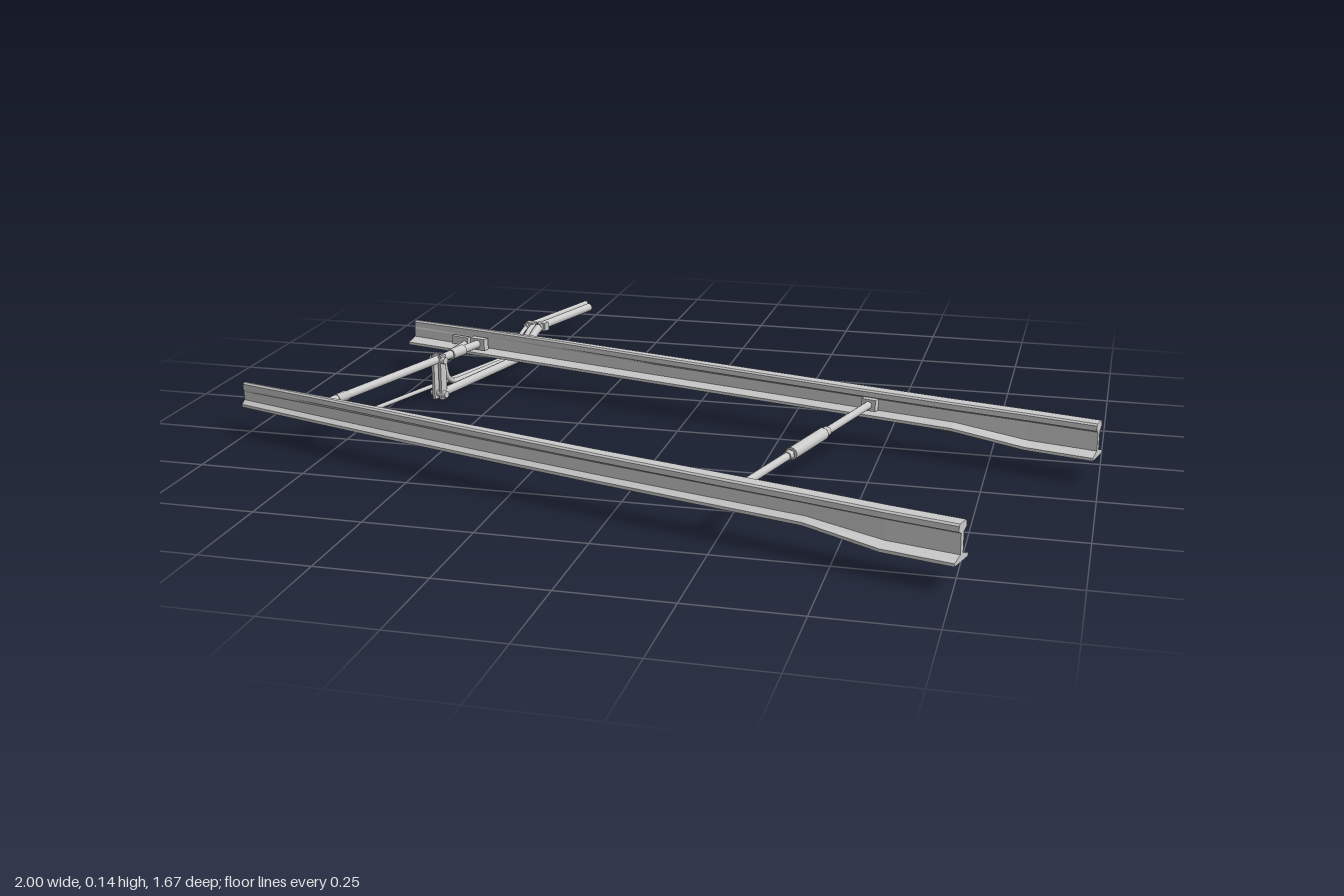
import * as THREE from 'three';

const V = (x, y, z) => new THREE.Vector3(x, y, z);
const mat = new THREE.MeshStandardMaterial({ color: 0xcccccc });
const flatMat = new THREE.MeshStandardMaterial({ color: 0xcccccc, flatShading: true });

function add(parent, geometry, name, material = mat) {
  const m = new THREE.Mesh(geometry, material);
  m.name = name;
  parent.add(m);
  return m;
}

// Straight round bar between two points
function bar(parent, a, b, r, name, sides = 12) {
  const m = add(parent, new THREE.CylinderGeometry(r, r, a.distanceTo(b), sides), name);
  m.position.copy(a).lerp(b, 0.5);
  m.quaternion.setFromUnitVectors(V(0, 1, 0), b.clone().sub(a).normalize());
  return m;
}

// Box turned about y
function block(parent, p, size, angle, name) {
  const m = add(parent, new THREE.BoxGeometry(...size), name);
  m.position.copy(p);
  m.rotation.y = angle;
  return m;
}

// Round pipe along a polyline with rounded corners
function pipe(parent, pts, r, bend, name) {
  const path = new THREE.CurvePath();
  let last = pts[0];
  for (let i = 1; i < pts.length - 1; i++) {
    const toward = (q) => {
      const d = q.clone().sub(pts[i]);
      return pts[i].clone().add(d.setLength(Math.min(bend, d.length() * 0.45)));
    };
    const a = toward(pts[i - 1]), b = toward(pts[i + 1]);
    path.add(new THREE.LineCurve3(last, a));
    path.add(new THREE.QuadraticBezierCurve3(a, pts[i], b));
    last = b;
  }
  path.add(new THREE.LineCurve3(last, pts[pts.length - 1]));
  return add(parent, new THREE.TubeGeometry(path, 120, r, 10), name);
}

// Rail section: t runs outward from the inner foot edge
function section({ yb, yt, foot, head: [h0, h1], web: [w0, w1] }) {
  return [
    [0, yb], [foot, yb], [foot, yb + 0.007], [w1, yb + 0.016],
    [w1, yt - 0.022], [h1, yt - 0.016], [h1, yt - 0.004], [h1 - 0.004, yt],
    [h0 + 0.004, yt], [h0, yt - 0.004], [h0, yt - 0.016], [w0, yt - 0.022],
    [w0, yb + 0.016], [0, yb + 0.007],
  ];
}

// Blade thins toward its tip and becomes a full rail at the heel
const stations = [
  { s: 0, yb: 0.075, yt: 0.134, foot: 0.05, head: [0.03, 0.042], web: [0.029, 0.04] },
  { s: 0.12, yb: 0.075, yt: 0.138, foot: 0.048, head: [0.026, 0.042], web: [0.026, 0.038] },
  { s: 0.25, yb: 0.075, yt: 0.14, foot: 0.047, head: [0.02, 0.043], web: [0.024, 0.037] },
  { s: 0.4, yb: 0.075, yt: 0.14, foot: 0.046, head: [0.014, 0.043], web: [0.022, 0.036] },
  { s: 0.55, yb: 0.075, yt: 0.14, foot: 0.047, head: [0.011, 0.044], web: [0.021, 0.035] },
  { s: 0.7, yb: 0.075, yt: 0.14, foot: 0.048, head: [0.008, 0.045], web: [0.02, 0.034] },
  { s: 0.82, yb: 0.075, yt: 0.14, foot: 0.05, head: [0.009, 0.047], web: [0.021, 0.035] },
  { s: 0.915, yb: 0.058, yt: 0.14, foot: 0.066, head: [0.014, 0.052], web: [0.026, 0.04] },
  { s: 1, yb: 0.058, yt: 0.14, foot: 0.068, head: [0.015, 0.053], web: [0.027, 0.041] },
];

// Loft a rail along its inner foot edge; side is +1 when outward is +z,
// bow is how far the middle curves outward
function rail(parent, a, b, side, bow, name) {
  const d = b.clone().sub(a).normalize();
  const n = V(-d.z, 0, d.x).multiplyScalar(side);
  const pos = [], idx = [];
  const rings = stations.map(section), k = rings[0].length;
  rings.forEach((ring, i) => ring.forEach(([t, y]) => {
    const { s } = stations[i];
    const p = a.clone().lerp(b, s).addScaledVector(n, t + 4 * bow * s * (1 - s));
    pos.push(p.x, y, p.z);
  }));
  const tri = (p, q, r) => (side > 0 ? idx.push(p, q, r) : idx.push(p, r, q));
  for (let i = 0; i < rings.length - 1; i++) {
    for (let j = 0; j < k; j++) {
      const p = i * k + j, q = i * k + (j + 1) % k;
      tri(p, p + k, q + k);
      tri(p, q + k, q);
    }
  }
  // End caps
  const cap = (ring) => THREE.ShapeUtils.triangulateShape(ring.map((c) => new THREE.Vector2(...c)), []);
  const e = (rings.length - 1) * k;
  cap(rings[0]).forEach(([p, q, r]) => tri(p, q, r));
  cap(rings[rings.length - 1]).forEach(([p, q, r]) => tri(e + p, e + r, e + q));
  const g = new THREE.BufferGeometry();
  g.setAttribute('position', new THREE.Float32BufferAttribute(pos, 3));
  g.setIndex(idx);
  g.computeVertexNormals();
  return add(parent, g, name, flatMat);
}

export function createModel() {
  const model = new THREE.Group();
  model.name = 'railSwitchBlades';

  // Two mirrored blades
  rail(model, V(-0.985, 0, 0.24), V(0.772, 0, 0.766), 1, 0.02, 'frontBlade');
  rail(model, V(-0.818, 0, -0.322), V(0.985, 0, 0.146), -1, 0, 'backBlade');

  // Heading of the cross rods, and of the rails for the lugs
  const rodAngle = -0.3, railAngle = -0.27;

  // Spacer rod near the heel
  const spacer = new THREE.Group();
  spacer.name = 'spacerRod';
  model.add(spacer);
  const s0 = V(0.467, 0.107, -0.005), s1 = V(0.279, 0.107, 0.652);
  const onSpacer = (t) => s0.clone().lerp(s1, t);
  bar(spacer, s0, s1, 0.009, 'rod');
  bar(spacer, onSpacer(0.38), onSpacer(0.61), 0.0145, 'sleeve');
  for (const t of [0.36, 0.63]) bar(spacer, onSpacer(t - 0.012), onSpacer(t + 0.012), 0.012, 'lockNut', 6);
  for (const t of [0.012, 0.988]) block(spacer, onSpacer(t), [0.036, 0.028, 0.018], railAngle, 'lug');

  // Stretcher rod joining the blade tips
  const stretcher = new THREE.Group();
  stretcher.name = 'stretcherRod';
  model.add(stretcher);
  const t0 = V(-0.785, 0.105, 0.325), t1 = V(-0.6, 0.105, -0.29);
  const onStretcher = (t) => t0.clone().lerp(t1, t);
  bar(stretcher, t0, t1, 0.0105, 'rod');
  bar(stretcher, onStretcher(0.1), onStretcher(0.16), 0.013, 'lockNut', 6);
  bar(stretcher, onStretcher(0.79), onStretcher(0.87), 0.014, 'sleeve');
  for (const t of [0.02, 0.98]) block(stretcher, onStretcher(t), [0.045, 0.03, 0.018], railAngle, 'lug');

  // Hanging crank plates with pivot pins
  const crank = new THREE.Group();
  crank.name = 'crank';
  model.add(crank);
  for (const dx of [-0.009, 0.009]) {
    block(crank, V(-0.652 + dx, 0.06, -0.11), [0.008, 0.116, 0.022], rodAngle, 'plate');
  }
  for (const y of [0.016, 0.105]) bar(crank, V(-0.674, y, -0.117), V(-0.63, y, -0.103), 0.009, 'pin');

  // Drive pipe dipping under the back blade
  const drive = new THREE.Group();
  drive.name = 'driveRod';
  model.add(drive);
  pipe(drive, [V(-0.652, 0.016, -0.1), V(-0.555, 0.016, -0.48), V(-0.534, 0.08, -0.55), V(-0.52, 0.08, -0.6)], 0.011, 0.035, 'pipe');
  bar(drive, V(-0.533, 0.08, -0.555), V(-0.46, 0.08, -0.795), 0.011, 'endBar');
  block(drive, V(-0.524, 0.08, -0.57), [0.026, 0.022, 0.018], rodAngle, 'clevis');

  // Detector rod to the front blade tip
  const detector = new THREE.Group();
  detector.name = 'detectorRods';
  model.add(detector);
  pipe(detector, [
    V(-0.84, 0.1, 0.295), V(-0.823, 0.092, 0.235), V(-0.802, 0.016, 0.17), V(-0.61, 0.014, -0.43),
    V(-0.592, 0.016, -0.48), V(-0.57, 0.08, -0.55), V(-0.555, 0.08, -0.6),
  ], 0.0055, 0.05, 'longRod');
  bar(detector, V(-0.57, 0.08, -0.555), V(-0.481, 0.08, -0.838), 0.007, 'longRodEnd');

  // Short detector rod to the back blade tip
  pipe(detector, [
    V(-0.645, 0.1, -0.29), V(-0.668, 0.092, -0.18), V(-0.66, 0.016, -0.195), V(-0.575, 0.016, -0.48),
    V(-0.553, 0.08, -0.55), V(-0.545, 0.08, -0.58),
  ], 0.007, 0.04, 'shortRod');
  block(detector, V(-0.558, 0.08, -0.568), [0.024, 0.02, 0.018], rodAngle, 'clevis');

  // Lugs fixing the detector rods to the blades
  block(detector, V(-0.87, 0.105, 0.292), [0.09, 0.022, 0.012], railAngle, 'frontLug');
  block(detector, V(-0.66, 0.105, -0.295), [0.05, 0.022, 0.012], railAngle, 'backLug');

  return model;
}
